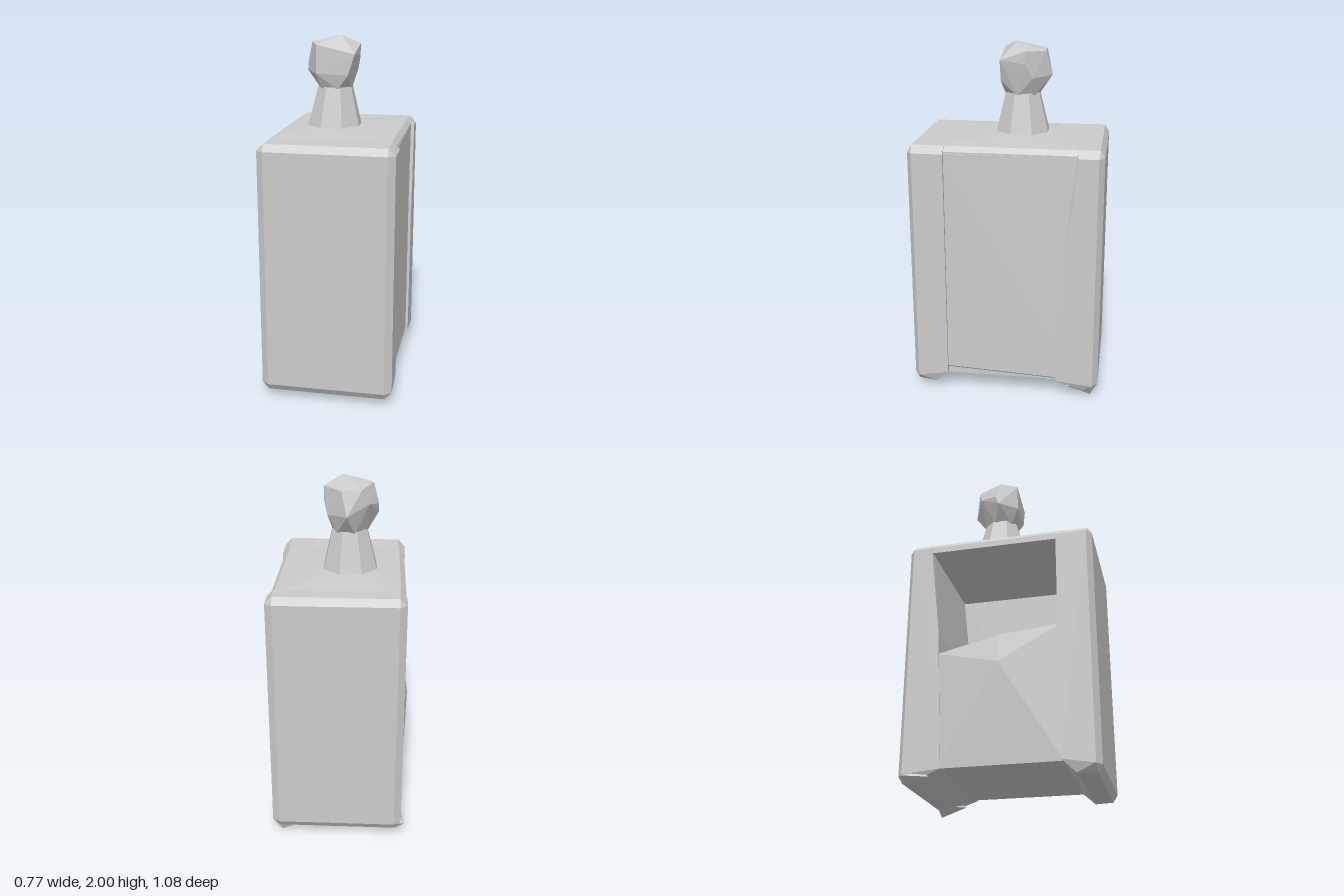
import * as THREE from 'three';
import { ConvexGeometry } from 'three/addons/geometries/ConvexGeometry.js';

const material = new THREE.MeshStandardMaterial({ color: 0xcccccc, flatShading: true });

// Faceted solid wrapped around a few corner points
function solid(name, points) {
  const geometry = new ConvexGeometry(points.map((p) => new THREE.Vector3(...p)));
  const mesh = new THREE.Mesh(geometry, material);
  mesh.name = name;
  return mesh;
}

// Ring of points in a horizontal plane
function ring(cx, y, cz, radius, sides, turn = 0) {
  return Array.from({ length: sides }, (_, i) => {
    const a = turn + (i / sides) * Math.PI * 2;
    return [cx + radius * Math.cos(a), y, cz + radius * Math.sin(a)];
  });
}

// End wall: chamfered on its outer face, with an inner profile of [z, y] points
function endWall(name, side, inner, bottom) {
  const c = 0.04, x0 = -0.36, x1 = 0.385, y0 = 0.04, y1 = 1.47, zOut = 0.54 * side;
  const points = [];
  for (const [x, dx] of [[x0, c], [x1, -c]]) {
    for (const [y, dy] of [[y0, c], [y1, -c]]) {
      points.push([x + dx, y + dy, zOut]);
      points.push([x, y + dy, zOut - 0.03 * side]);
      points.push([x + dx, y, zOut - 0.025 * side]);
    }
    for (const [z, y] of inner) points.push([x, y, z]);
    points.push([x + dx * 0.5, y0, bottom]);
    points.push([x + dx, y1, inner[inner.length - 1][0]]);
  }
  return solid(name, points);
}

export function createModel() {
  const model = new THREE.Group();

  // Thick end walls, reaching below the floor
  model.add(endWall('frontWall', 1, [[0.335, 0.11], [0.335, 1.43]], 0.41));
  model.add(endWall('backWall', -1, [[-0.3, 0.1], [-0.34, 0.9], [-0.4, 1.43]], -0.46));

  // Small feet at the back corners
  for (const [x, drop] of [[0.33, 0], [-0.33, 0.03]]) {
    const s = Math.sign(x);
    model.add(solid('backFoot', [
      [x, drop, -0.5], [x + 0.05 * s, 0.07, -0.51], [x, 0.08, -0.53],
      [x - 0.1 * s, 0.045, -0.5], [x + 0.03 * s, 0.06, -0.36], [x, 0.1, -0.4],
    ]));
  }

  // Floor and raised seat, bulging out through the open side
  model.add(solid('seatBlock', [
    [-0.355, 0.1, -0.32], [0.36, 0.1, -0.32], [-0.355, 0.1, 0.35], [0.36, 0.1, 0.35],
    [-0.355, 0.75, -0.34], [0.36, 0.77, -0.34],
    [-0.36, 0.83, 0.01], [0.36, 0.86, 0.01],
    [-0.355, 0.865, 0.35], [0.36, 0.875, 0.35],
    [-0.39, 0.66, 0.01],
  ]));

  // Closed side panel with a bevelled lower edge
  model.add(solid('sidePanel', [
    [0.32, 0.1, -0.42], [0.32, 0.1, 0.36], [0.37, 0.11, -0.42], [0.372, 0.15, 0.36],
    [0.32, 1.45, -0.42], [0.32, 1.45, 0.36], [0.365, 1.43, -0.42], [0.368, 1.43, 0.36],
  ]));

  // Roof slab, rising slightly to the neck
  const roof = [];
  for (const z of [-0.42, 0.36]) {
    roof.push([-0.355, 1.4, z], [-0.355, 1.435, z], [-0.325, 1.468, z]);
    roof.push([0.365, 1.4, z], [0.365, 1.44, z], [0.34, 1.468, z]);
  }
  roof.push(...ring(-0.045, 1.488, -0.05, 0.15, 7));
  model.add(solid('roof', roof));

  // Tapered neck
  model.add(solid('neck', [
    ...ring(-0.045, 1.48, -0.05, 0.162, 8, 0.35),
    ...ring(-0.04, 1.71, -0.05, 0.103, 8, 0.35),
  ]));

  // Irregular faceted head
  model.add(solid('head', [
    ...ring(-0.04, 1.7, -0.05, 0.1, 6, 0.2),
    [-0.03, 1.81, -0.22], [-0.2, 1.8, -0.04], [-0.13, 1.79, 0.068], [0.05, 1.78, 0.065], [0.08, 1.8, -0.12],
    [-0.2, 1.85, -0.06], [-0.15, 1.87, -0.16], [0.1, 1.88, -0.08],
    [-0.11, 1.95, -0.18], [0, 1.945, -0.185], [0.1, 1.95, -0.08],
    [0.09, 1.9, 0.065], [-0.13, 1.95, 0.065], [-0.17, 1.96, -0.03],
    [0, 2, -0.02],
  ]));

  return model;
}
